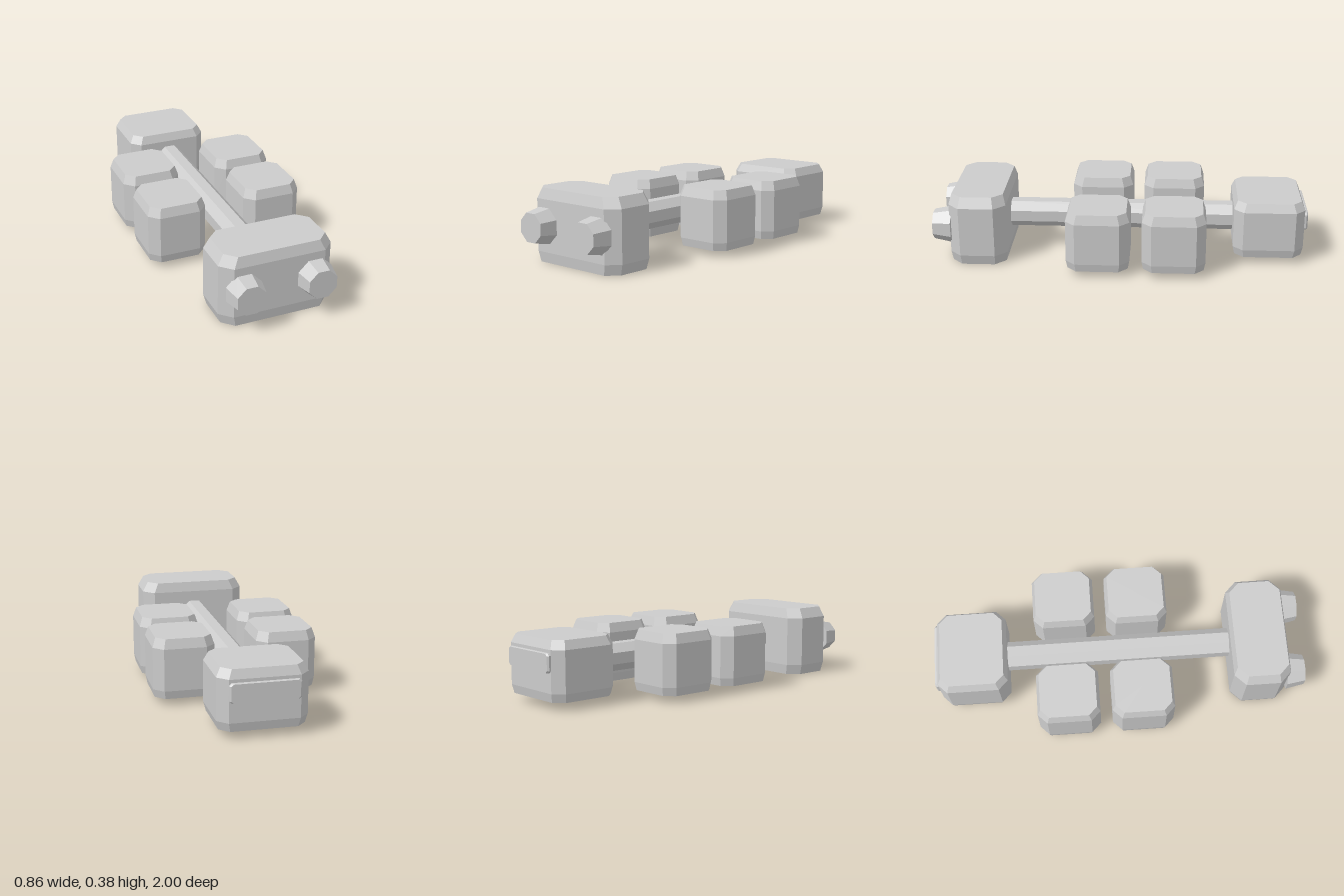
import * as THREE from 'three';

const grey = new THREE.MeshStandardMaterial({ color: 0xcccccc, flatShading: true });
grey.name = 'light grey';

// Chamfered rectangle swept up y; levels are [height, scale] pairs.
function loft(w, d, c, levels) {
  const a = w / 2, b = d / 2;
  const ring = [[a, -b + c], [a, b - c], [a - c, b], [-a + c, b], [-a, b - c], [-a, -b + c], [-a + c, -b], [a - c, -b]];
  const pos = [];
  const n = ring.length, last = levels.length - 1;
  const at = (l, i) => [ring[i % n][0] * levels[l][1], levels[l][0], ring[i % n][1] * levels[l][1]];
  for (let i = 0; i < n; i++) {
    for (let l = 0; l < last; l++) {
      pos.push(...at(l, i), ...at(l + 1, i), ...at(l, i + 1));
      pos.push(...at(l, i + 1), ...at(l + 1, i), ...at(l + 1, i + 1));
    }
    pos.push(0, levels[0][0], 0, ...at(0, i), ...at(0, i + 1));
    pos.push(0, levels[last][0], 0, ...at(last, i + 1), ...at(last, i));
  }
  const g = new THREE.BufferGeometry();
  g.setAttribute('position', new THREE.Float32BufferAttribute(pos, 3));
  g.computeVertexNormals();
  return g;
}

// Octagonal bar along z; radii are measured to the flats.
function octagon(rFront, rBack, length) {
  const k = 1 / Math.cos(Math.PI / 8);
  return new THREE.CylinderGeometry(rFront * k, rBack * k, length, 8, 1, false, Math.PI / 8).rotateX(Math.PI / 2);
}

export function createModel() {
  const model = new THREE.Group();
  const add = (name, geometry, x, y, z) => {
    const mesh = new THREE.Mesh(geometry, grey);
    mesh.name = name;
    mesh.position.set(x, y, z);
    model.add(mesh);
  };

  // Front and rear body blocks
  add('frontBlock', loft(0.6, 0.305, 0.06, [[0, 0.95], [0.055, 1], [0.325, 1], [0.38, 0.9]]), 0, 0, 0.757);
  add('rearBlock', loft(0.45, 0.375, 0.05, [[0.04, 0.95], [0.085, 1], [0.3, 1], [0.345, 0.9]]), 0, 0, -0.795);

  // Central beam
  add('beam', octagon(0.072, 0.072, 1.23), 0, 0.194, 0);

  // Four side blocks and two front lamps
  const cube = loft(0.32, 0.334, 0.05, [[0.035, 0.95], [0.078, 1], [0.3, 1], [0.35, 0.9]]);
  const lamp = octagon(0.074, 0.092, 0.1);
  for (const s of [1, -1]) {
    const side = s > 0 ? 'left' : 'right';
    add(side + 'FrontSideBlock', cube, s * 0.27, 0, 0.109);
    add(side + 'RearSideBlock', cube, s * 0.27, 0, -0.289);
    add(side + 'Lamp', lamp, s * 0.188, 0.192, 0.95);
  }

  // Raised plate on the back
  const plate = loft(0.352, 0.098, 0.012, [[0, 1], [0.014, 1], [0.022, 0.95]]).rotateX(-Math.PI / 2);
  add('rearPlate', plate, 0, 0.235, -0.978);
  return model;
}
